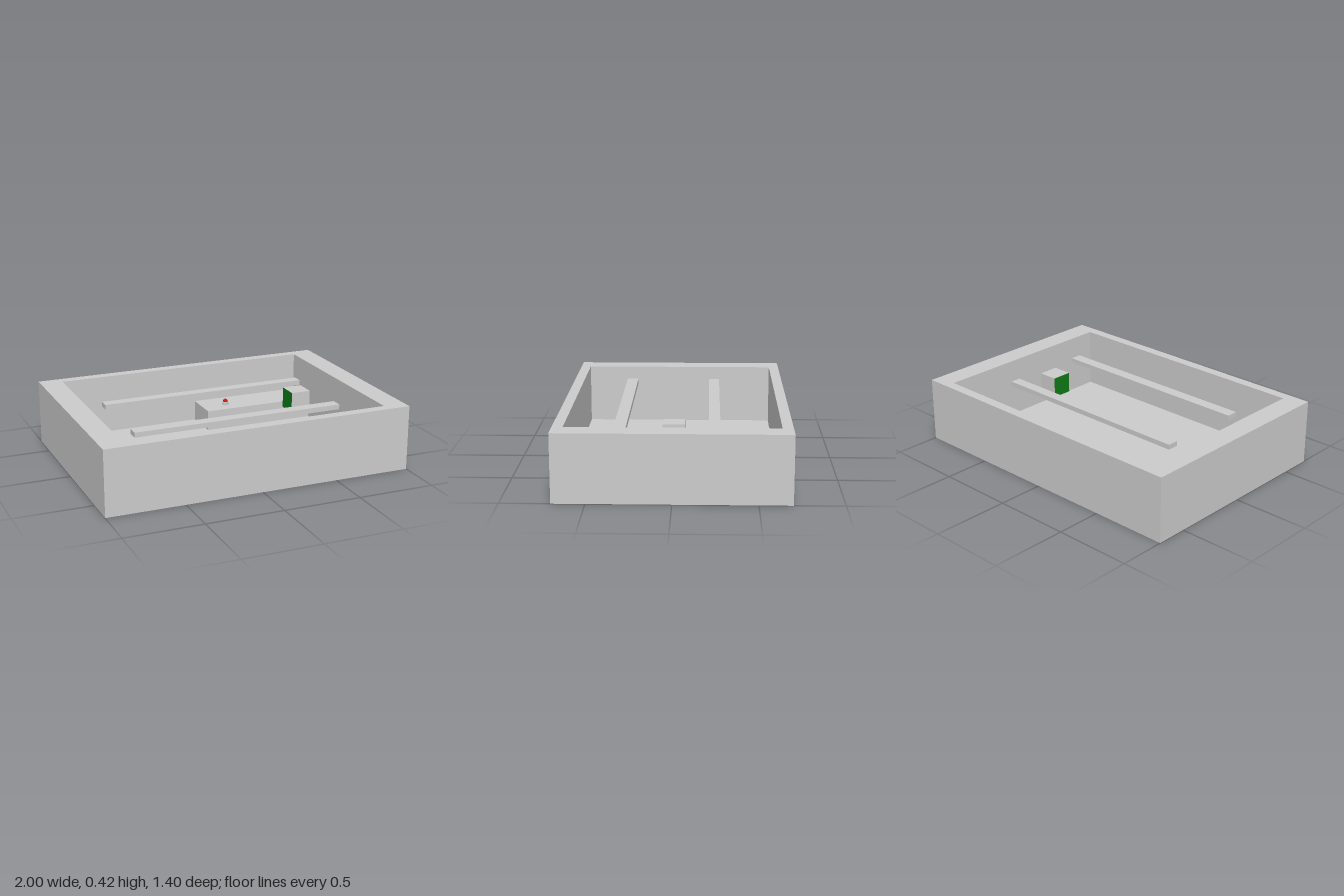
import * as THREE from 'three';

const mat = (color) => new THREE.MeshStandardMaterial({ color, flatShading: true });
const grey = mat(0xcccccc);
const green = mat(0x0f7a16);
const red = mat(0xe01010);

const FLOOR = 0.03;
const HEIGHT = 0.42;
const CASE_TOP = 0.165;

export function createModel() {
  const group = new THREE.Group();

  const add = (name, geometry, x, y, z, material = grey) => {
    const mesh = new THREE.Mesh(geometry, material);
    mesh.name = name;
    mesh.position.set(x, y, z);
    group.add(mesh);
    return mesh;
  };

  // Box from its minimum and maximum corners
  const box = (name, [x0, y0, z0], [x1, y1, z1], material) =>
    add(name, new THREE.BoxGeometry(x1 - x0, y1 - y0, z1 - z0),
      (x0 + x1) / 2, (y0 + y1) / 2, (z0 + z1) / 2, material);

  const rectangle = (Type, w, d) => new Type([
    new THREE.Vector2(-w, -d), new THREE.Vector2(w, -d),
    new THREE.Vector2(w, d), new THREE.Vector2(-w, d),
  ]);

  // Open tray: wall frame with a thin floor
  const frame = rectangle(THREE.Shape, 1, 0.7);
  frame.holes.push(rectangle(THREE.Path, 0.855, 0.635));
  const walls = new THREE.ExtrudeGeometry(frame, { depth: HEIGHT, bevelEnabled: false });
  walls.rotateX(-Math.PI / 2);
  add('walls', walls, 0, 0, 0);
  box('floor', [-0.855, 0, -0.635], [0.855, FLOOR, 0.635]);

  // Two long rails suspended across the tray
  box('backRail', [-0.695, 0.335, -0.28], [0.69, 0.367, -0.21]);
  box('frontRail', [-0.695, 0.335, 0.285], [0.69, 0.367, 0.36]);

  // Raised block with a green face towards -x
  box('block', [0.497, 0.245, -0.07], [0.627, 0.38, 0.065],
    [grey, green, grey, grey, grey, grey]);

  // Control case in the back corner, with its knob and peg
  box('controlCase', [0.09, FLOOR, -0.635], [0.855, CASE_TOP, -0.39]);
  add('knobBase', new THREE.CylinderGeometry(0.021, 0.021, 0.02, 20), 0.258, CASE_TOP + 0.01, -0.486);
  add('knob', new THREE.SphereGeometry(0.016, 12, 8), 0.258, CASE_TOP + 0.025, -0.486, red);
  add('peg', new THREE.CylinderGeometry(0.01, 0.01, 0.02, 16), 0.287, CASE_TOP + 0.01, -0.532);

  return group;
}
